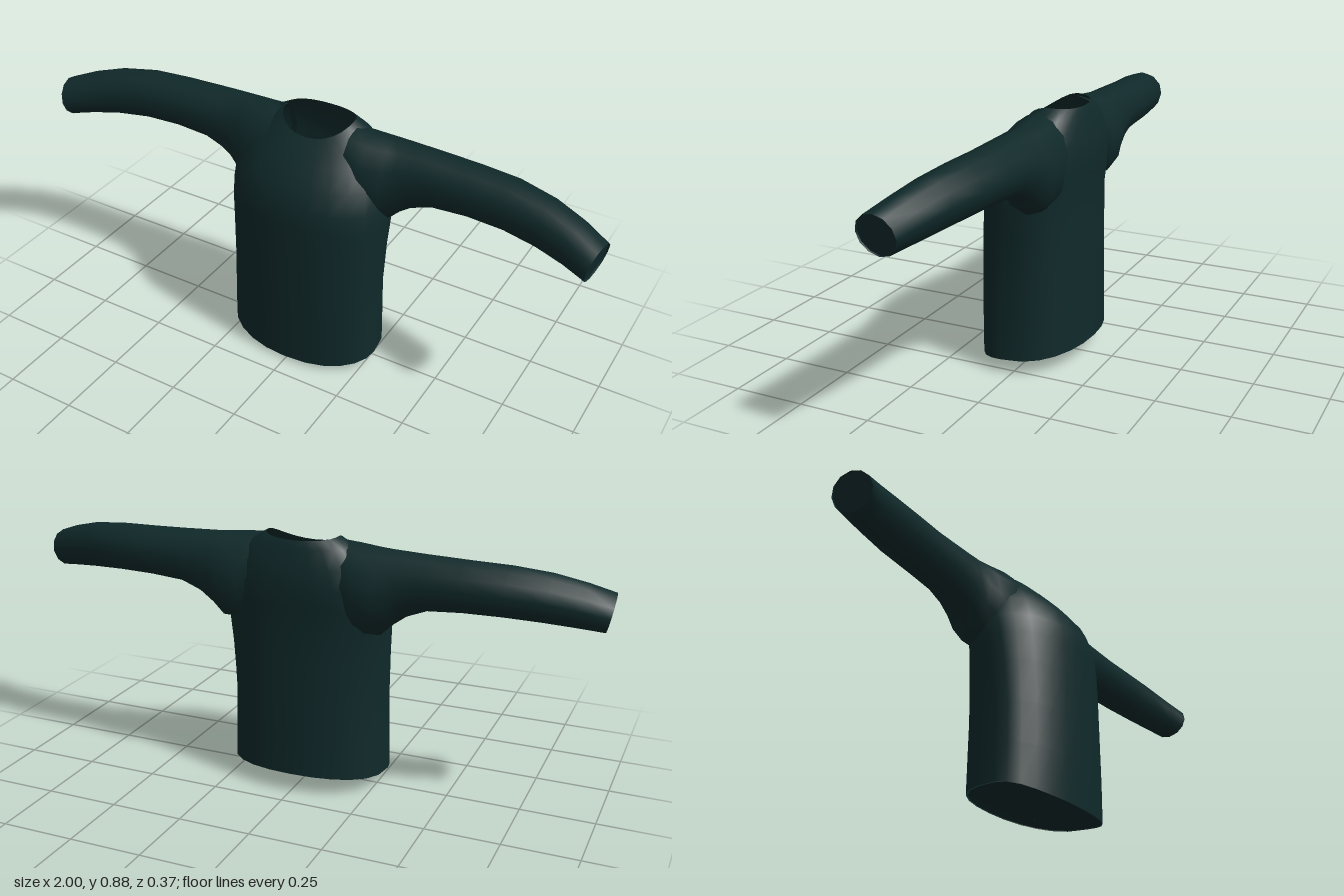
import * as THREE from 'three';

const AROUND = 24, SLEEVE_SIDES = 12;

// Skin closed rings of points into one smooth surface
function loft(rings) {
  const n = rings[0].length, index = [];
  for (let i = 0; i < rings.length - 1; i++) {
    for (let j = 0; j < n; j++) {
      const k = (j + 1) % n;
      const a = i * n + j, b = i * n + k, c = a + n, d = b + n;
      index.push(a, b, d, a, d, c);
    }
  }
  const geometry = new THREE.BufferGeometry();
  geometry.setAttribute('position', new THREE.Float32BufferAttribute(rings.flat(2), 3));
  geometry.setIndex(index);
  geometry.computeVertexNormals();
  return geometry;
}

// Torso rings from hem to neckline: front [z, y], side [x, y, z], back [z, y]
const TORSO = [
  [[0.18, 0.015], [0.277, 0.05, 0.035], [-0.183, 0.07]],
  [[0.182, 0.17], [0.274, 0.18, 0.033], [-0.181, 0.19]],
  [[0.181, 0.32], [0.271, 0.32, 0.03], [-0.178, 0.32]],
  [[0.18, 0.47], [0.276, 0.47, 0.015], [-0.173, 0.47]],
  [[0.177, 0.58], [0.283, 0.57, 0], [-0.168, 0.58]],
  [[0.174, 0.64], [0.284, 0.64, -0.02], [-0.173, 0.66]],
  [[0.148, 0.71], [0.268, 0.72, -0.04], [-0.177, 0.73]],
  [[0.1, 0.77], [0.235, 0.79, -0.06], [-0.166, 0.79]],
  [[0.062, 0.81], [0.18, 0.85, -0.062], [-0.15, 0.85]],
  [[0.035, 0.835], [0.125, 0.882, -0.055], [-0.138, 0.873]],
];

function torsoRing([front, side, back]) {
  return Array.from({ length: AROUND }, (_, j) => {
    const a = (j / AROUND) * Math.PI * 2;
    const c = Math.cos(a), s = Math.sin(a), w = Math.abs(c);
    const end = c > 0 ? front : back;
    const depth = Math.pow(w, c > 0 ? 0.95 : 0.8);
    return [
      side[0] * Math.sign(s) * Math.pow(Math.abs(s), 0.92),
      side[1] + (end[1] - side[1]) * Math.pow(w, 1.5),
      side[2] + (end[0] - side[2]) * depth,
    ];
  });
}

// Sleeve rings from shoulder to cuff: x, top, bottom, front z, back z, lean
const SLEEVE = [
  [0.14, 0.87, 0.64, 0.05, -0.145, 0],
  [0.2, 0.866, 0.56, 0.065, -0.165, 0],
  [0.27, 0.861, 0.565, 0.048, -0.166, 0],
  [0.31, 0.859, 0.605, 0.032, -0.157, 0],
  [0.36, 0.857, 0.642, 0.026, -0.151, 0],
  [0.43, 0.854, 0.67, 0.023, -0.147, 0],
  [0.55, 0.85, 0.679, 0.022, -0.143, 0],
  [0.68, 0.845, 0.679, 0.031, -0.134, 0.004],
  [0.8, 0.83, 0.67, 0.046, -0.106, 0.009],
  [0.9, 0.803, 0.658, 0.069, -0.075, 0.012],
  [0.983, 0.772, 0.645, 0.097, -0.044, 0.013],
];

function sleeveRing([x, top, bottom, front, back, lean], side, scale = 1) {
  return Array.from({ length: SLEEVE_SIDES }, (_, j) => {
    const a = side * (j / SLEEVE_SIDES) * Math.PI * 2;
    const c = Math.cos(a) * scale, s = Math.sin(a) * scale;
    return [
      side * (x + lean * (c - s * 0.7)),
      (top + bottom) / 2 + (c * (top - bottom)) / 2,
      (front + back) / 2 + (s * (front - back)) / 2,
    ];
  });
}

export function createModel() {
  const fabric = new THREE.MeshStandardMaterial({ color: 0x10292a, side: THREE.DoubleSide });
  fabric.name = 'dark teal fabric';
  const model = new THREE.Group();
  model.name = 'sweater';
  const add = (name, geometry) => {
    const mesh = new THREE.Mesh(geometry, fabric);
    mesh.name = name;
    model.add(mesh);
  };

  // Body, open at the neck
  const torso = TORSO.map(torsoRing);
  add('torso', loft(torso));

  // Sagging cloth just inside the hem
  const lining = [0.01, 0.35, 0.7, 0.97].map((r) => torso[0].map(([x, y, z]) => [
    x * r,
    0.045 + (y - 0.045) * r - 0.034 * (1 - r * r) - 0.012 * z * 10 * r * (1 - r) + 0.003,
    z * r,
  ]));
  add('hemLining', loft(lining));

  // Sleeves with slightly recessed cuff ends
  for (const [side, label] of [[1, 'left'], [-1, 'right']]) {
    add(label + 'Sleeve', loft(SLEEVE.map((ring) => sleeveRing(ring, side))));
    const cuff = [...SLEEVE[SLEEVE.length - 1]];
    cuff[0] -= 0.006;
    add(label + 'CuffEnd', loft([sleeveRing(cuff, side, 0.99), sleeveRing(cuff, side, 0.001)]));
  }
  return model;
}
